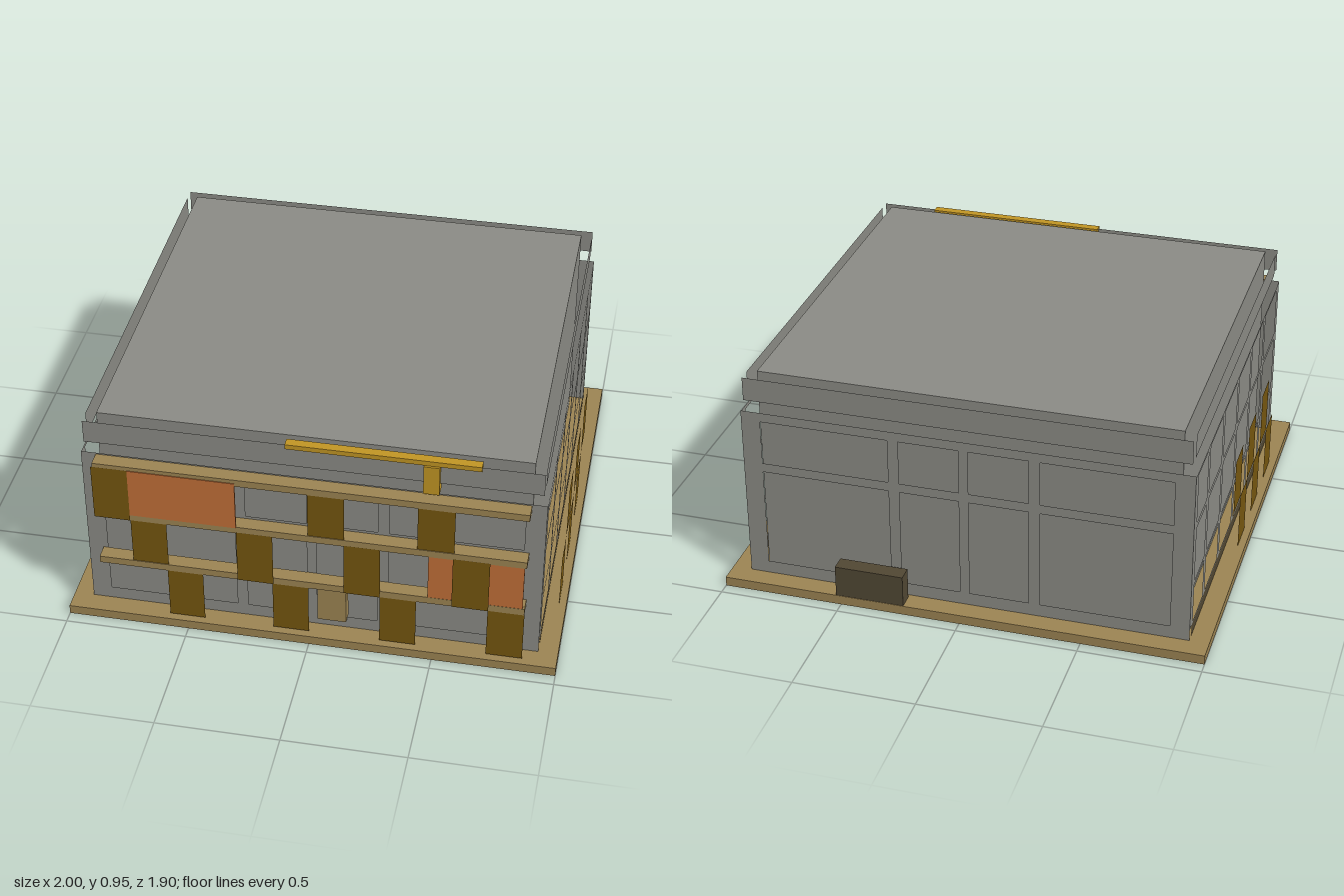
import * as THREE from 'three';

export function createModel() {
  const model = new THREE.Group();
  const mat = (name, color) => {
    const m = new THREE.MeshStandardMaterial({ color, side: THREE.DoubleSide });
    m.name = name;
    return m;
  };
  const grey = mat('concrete grey', 0x8a8a84);
  const tan = mat('sand', 0x9b8352);
  const brown = mat('shutter brown', 0x74550f);
  const orange = mat('orange', 0xc06e37);
  const gold = mat('gold', 0xc09424);
  const dark = mat('dark brown', 0x504733);

  const add = (name, geometry, material) => {
    const mesh = new THREE.Mesh(geometry, material);
    mesh.name = name;
    model.add(mesh);
    return mesh;
  };
  // Box given by its min and max on each axis
  const box = (name, material, x0, x1, y0, y1, z0, z1) =>
    add(name, new THREE.BoxGeometry(x1 - x0, y1 - y0, z1 - z0), material)
      .position.set((x0 + x1) / 2, (y0 + y1) / 2, (z0 + z1) / 2);

  // Upright sheet with rectangular openings [u0, u1, v0, v1]
  const sheet = (u0, u1, v0, v1, holes = []) => {
    const rect = (Type, a, b, c, d) =>
      new Type([[a, c], [b, c], [b, d], [a, d]].map(p => new THREE.Vector2(...p)));
    const shape = rect(THREE.Shape, u0, u1, v0, v1);
    holes.forEach(h => shape.holes.push(rect(THREE.Path, ...h)));
    return new THREE.ShapeGeometry(shape);
  };
  // Places a sheet on the front (s = 1) or back (s = -1)
  const onFront = (name, material, s, z, geometry) => {
    const m = add(name, geometry, material);
    m.rotation.y = s > 0 ? 0 : Math.PI;
    m.position.z = s * z;
  };
  // Places a sheet on the side at x = s * x, with its range and openings given in z
  const onSide = (name, material, s, x, z0, z1, y0, y1, holes = []) => {
    const flip = (a, b) => (s > 0 ? [-b, -a] : [a, b]);
    const g = sheet(...flip(z0, z1), y0, y1, holes.map(h => [...flip(h[0], h[1]), h[2], h[3]]));
    const m = add(name, g, material);
    m.rotation.y = s * Math.PI / 2;
    m.position.x = s * x;
  };

  // Ground slab and main block
  box('groundSlab', tan, -1, 1, 0, 0.04, -0.95, 0.95);
  box('mainBlock', grey, -0.86, 0.86, 0.04, 0.95, -0.815, 0.815);

  // Front and back wall frames: four bays, two rows
  const bays = [[-0.84, -0.31], [-0.265, -0.02], [0.02, 0.265], [0.31, 0.84]];
  const faceHoles = bays.flatMap(([a, b]) => [[a, b, 0.095, 0.52], [a, b, 0.56, 0.75]]);
  // Side wall frames: six bays, three rows
  const sideBays = [[0.555, 0.81], [0.265, 0.51], [-0.015, 0.22],
    [-0.305, -0.06], [-0.59, -0.35], [-0.815, -0.635]];
  const sideHoles = sideBays.flatMap(([a, b]) =>
    [[0.1, 0.27], [0.29, 0.53], [0.555, 0.77]].map(r => [a, b, ...r]));

  for (const s of [1, -1]) {
    const end = s > 0 ? 'front' : 'back';
    const flank = s > 0 ? 'right' : 'left';
    onFront(end + 'WallFrame', grey, s, 0.865, sheet(-0.92, 0.92, 0.04, 0.79, faceHoles));
    onFront(end + 'Parapet', grey, s, 0.865, sheet(-0.905, 0.905, 0.84, 0.94));
    onSide(flank + 'WallFrame', grey, s, 0.92, -0.865, 0.865, 0.09, 0.785, sideHoles);
    onSide(flank + 'Parapet', grey, s, 0.905, -0.815, 0.815, 0.84, 0.94);
    onSide(flank + 'Plinth', dark, s, 0.92, -0.83, 0.82, 0.04, 0.09);

    // Staggered side shutters standing off the wall
    for (const z of [-0.145, 0.14, 0.43]) {
      onSide(flank + 'LowerShutter', brown, s, 0.97, z, z + 0.147, 0.04, 0.285);
      onSide(flank + 'UpperShutter', brown, s, 0.97, z - 0.145, z + 0.002, 0.285, 0.53);
    }
  }

  // Balcony slabs
  for (const y of [0.277, 0.517, 0.753]) {
    box('balconySlab', tan, -0.86, 0.86, y, y + 0.031, 0.865, 0.925);
  }

  // Front shutters: x, bottom, top, z
  [
    [-0.58, 0.045, 0.277, 0.922], [-0.15, 0.045, 0.277, 0.922],
    [0.284, 0.045, 0.277, 0.922], [0.715, 0.045, 0.277, 0.922],
    [-0.72, 0.307, 0.517, 0.922], [-0.29, 0.28, 0.525, 0.93],
    [0.14, 0.28, 0.525, 0.93], [0.572, 0.28, 0.525, 0.93],
    [-0.865, 0.52, 0.77, 0.93], [-0.004, 0.548, 0.753, 0.922], [0.43, 0.548, 0.753, 0.922],
  ].forEach(([x, y0, y1, z]) =>
    onFront('frontShutter', brown, 1, z, sheet(x, x + 0.146, y0, y1)));

  // Orange balcony screens
  box('upperScreen', orange, -0.72, -0.29, 0.545, 0.767, 0.92, 0.928);
  box('lowerScreen', orange, 0.475, 0.852, 0.307, 0.517, 0.916, 0.924);

  // Door, roof beam on its post, and rear cabinet
  box('door', tan, 0.025, 0.142, 0.085, 0.277, 0.84, 0.887);
  box('beamPost', gold, 0.442, 0.505, 0.797, 0.927, 0.83, 0.885);
  box('roofBeam', gold, -0.098, 0.664, 0.927, 0.948, 0.838, 0.876);
  box('rearCabinet', dark, 0.235, 0.52, 0.04, 0.175, -0.948, -0.882);

  return model;
}
